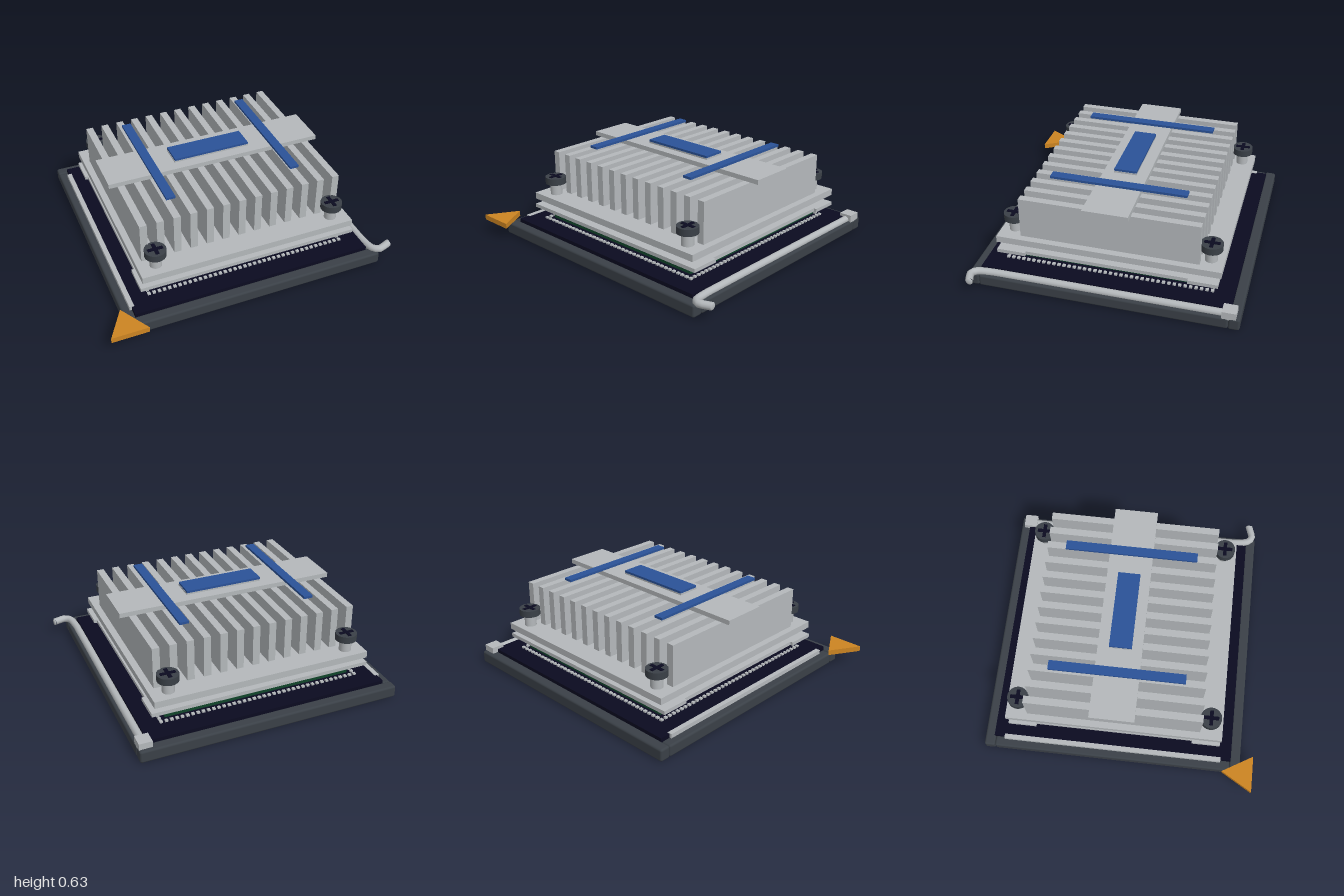
import * as THREE from 'three';
import { mergeGeometries } from 'three/addons/utils/BufferGeometryUtils.js';
import { RoundedBoxGeometry } from 'three/addons/geometries/RoundedBoxGeometry.js';

const mat = (name, color) => {
  const m = new THREE.MeshStandardMaterial({ color });
  m.name = name;
  return m;
};

// Box geometry from its extents on each axis
function boxGeo(x0, x1, y0, y1, z0, z1, radius = 0) {
  const s = [x1 - x0, y1 - y0, z1 - z0];
  const g = radius ? new RoundedBoxGeometry(...s, 2, radius) : new THREE.BoxGeometry(...s);
  return g.translate((x0 + x1) / 2, (y0 + y1) / 2, (z0 + z1) / 2);
}

// Flat triangular prism from [x, z] corners
function triangleGeo(corners, y0, y1) {
  const shape = new THREE.Shape(corners.map(([x, z]) => new THREE.Vector2(x, -z)));
  const g = new THREE.ExtrudeGeometry(shape, { depth: y1 - y0, bevelEnabled: false });
  return g.rotateX(-Math.PI / 2).translate(0, y0, 0);
}

export function createModel() {
  const model = new THREE.Group();
  model.name = 'socketWithHeatsink';
  const metal = mat('aluminium', 0xb4b8bb);
  const plastic = mat('charcoalPlastic', 0x3a4047);
  const navy = mat('darkNavy', 0x0a0a20);
  const green = mat('boardGreen', 0x11462b);
  const orange = mat('markerOrange', 0xcc8422);
  const blue = mat('labelBlue', 0x2a5298);

  const add = (name, geo, material, parent = model) => {
    const mesh = new THREE.Mesh(geo, material);
    mesh.name = name;
    parent.add(mesh);
    return mesh;
  };
  const box = (name, material, ...e) => add(name, boxGeo(...e), material);

  // Socket base and its four rounded rails
  box('socketBase', navy, -0.8, 0.83, 0.008, 0.105, -0.86, 0.77);
  box('frontRail', plastic, -0.865, 0.9, 0, 0.083, 0.765, 0.837, 0.014);
  box('backRail', plastic, -0.865, 0.9, 0, 0.083, -0.925, -0.853, 0.014);
  box('rightRail', plastic, -0.865, -0.793, 0, 0.08, -0.853, 0.765, 0.014);
  box('leftRail', plastic, 0.828, 0.9, 0, 0.08, -0.853, 0.765, 0.014);
  box('hingeStrip', metal, -0.815, -0.783, 0.075, 0.108, -0.79, 0.7);

  // Locking lever with its hooked end
  const path = new THREE.CatmullRomCurve3([
    [0.855, 0.087, -0.83], [0.855, 0.087, -0.1], [0.855, 0.087, 0.55], [0.858, 0.088, 0.7],
    [0.875, 0.092, 0.785], [0.91, 0.095, 0.81], [0.95, 0.096, 0.8], [0.992, 0.097, 0.785],
  ].map(p => new THREE.Vector3(...p)));
  add('leverRod', new THREE.TubeGeometry(path, 64, 0.025, 12), metal);
  const tip = add('leverTip', new THREE.SphereGeometry(0.025, 12, 8), metal);
  tip.scale.x = 0.35;
  tip.position.set(0.992, 0.097, 0.785);
  box('leverHinge', metal, 0.81, 0.897, 0.07, 0.125, -0.9, -0.81);

  // Orientation marker at the socket corner
  add('cornerMarker', triangleGeo([[-1, 0.92], [-0.757, 0.92], [-0.879, 0.712]], 0.087, 0.123), orange);

  // Contact pins around the rim of the board
  const pins = [];
  const count = 40;
  for (let i = 0; i < count; i++) {
    const t = i / (count - 1);
    const x = -0.665 + 1.36 * t, z = -0.72 + 1.355 * t;
    for (const [px, pz] of [[x, -0.72], [x, 0.635], [-0.665, z], [0.695, z]])
      pins.push(boxGeo(px - 0.01, px + 0.01, 0.1, 0.116, pz - 0.01, pz + 0.01));
  }
  add('contactPins', mergeGeometries(pins), metal);

  // Circuit board, edge chips and corner marker
  box('circuitBoard', green, -0.625, 0.66, 0.113, 0.15, -0.69, 0.6);
  const chips = [];
  const chip = (x, z, w, d) => chips.push(boxGeo(x - w / 2, x + w / 2, 0.148, 0.16, z - d / 2, z + d / 2));
  for (let i = 0; i < 7; i++) {
    const x = -0.43 + 0.15 * i;
    for (const z of [-0.65, 0.56]) chip(x, z, 0.053, 0.03);
  }
  for (let i = 0; i < 6; i++) {
    const z = -0.49 + 0.18 * i;
    for (const x of [-0.59, 0.625]) chip(x, z, 0.03, 0.053);
  }
  add('boardChips', mergeGeometries(chips), navy);
  add('boardMarker', triangleGeo([[-0.64, 0.575], [-0.485, 0.575], [-0.64, 0.42]], 0.15, 0.167), orange);

  // Heat spreader, stepped lid and notched retention plate
  box('heatSpreader', metal, -0.545, 0.578, 0.15, 0.187, -0.6, 0.515);
  box('retentionPlate', metal, -0.71, 0.745, 0.187, 0.212, -0.57, 0.49);
  box('retentionPlateBack', metal, -0.728, 0.765, 0.187, 0.212, -0.76, -0.57);
  box('retentionPlateFront', metal, -0.728, 0.765, 0.187, 0.212, 0.49, 0.68);
  box('lowerStep', metal, -0.475, 0.508, 0.212, 0.234, -0.53, 0.45);
  box('upperStep', metal, -0.49, 0.525, 0.234, 0.255, -0.55, 0.465);

  // Heatsink base and fins
  box('heatsinkBase', metal, -0.715, 0.75, 0.255, 0.3, -0.775, 0.685);
  const fins = [];
  for (let i = 0; i < 13; i++) {
    const x = -0.647 + 0.1106 * i;
    fins.push(boxGeo(x - 0.024, x + 0.024, 0.3, 0.577, -0.63, 0.535));
  }
  add('fins', mergeGeometries(fins), metal);

  // Cross bar, label pad and blue details
  box('crossBar', metal, -0.728, 0.765, 0.577, 0.608, -0.195, 0.1);
  box('labelPad', metal, -0.25, 0.282, 0.608, 0.619, -0.12, 0.03);
  box('label', blue, -0.248, 0.28, 0.619, 0.634, -0.12, 0.03);
  for (const x of [-0.415, 0.445])
    box('blueStrip', blue, x - 0.031, x + 0.031, 0.618, 0.634, -0.495, 0.4);

  // Corner screws with cross slots
  for (const x of [-0.597, 0.631]) {
    for (const z of [-0.69, 0.595]) {
      const screw = new THREE.Group();
      screw.name = 'screw';
      screw.position.set(x, 0, z);
      add('screwShaft', new THREE.CylinderGeometry(0.04, 0.04, 0.09, 24).translate(0, 0.34, 0), metal, screw);
      add('screwHead', new THREE.CylinderGeometry(0.07, 0.07, 0.046, 32).translate(0, 0.403, 0), plastic, screw);
      add('screwSlot', mergeGeometries([
        boxGeo(-0.05, 0.05, 0.425, 0.43, -0.012, 0.012),
        boxGeo(-0.012, 0.012, 0.425, 0.4305, -0.05, 0.05),
      ]), navy, screw);
      model.add(screw);
    }
  }
  return model;
}
